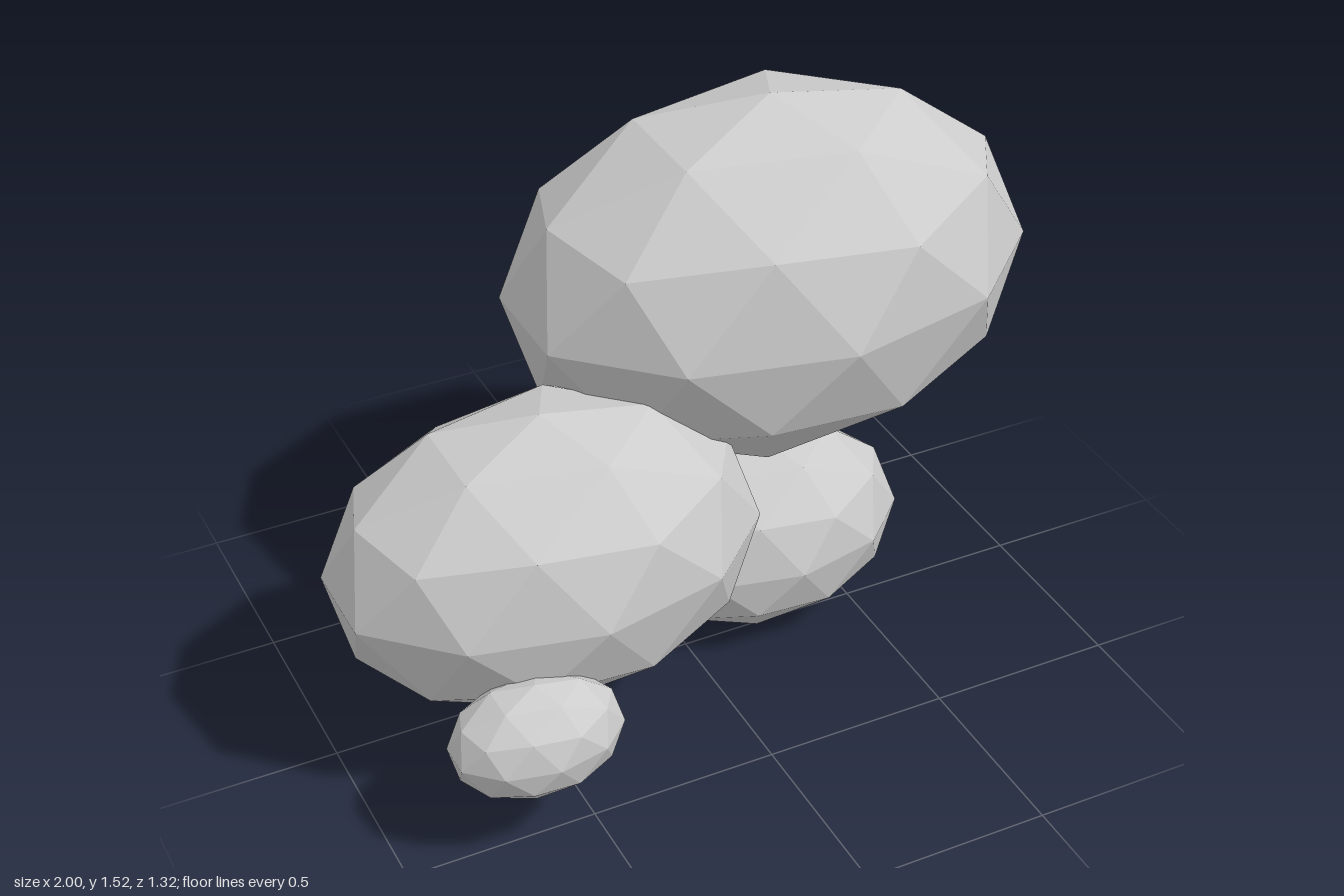
import * as THREE from 'three';

// Low-poly ellipsoid: a once-subdivided icosahedron standing on a vertex
function makeBlob(name, [x, y, z], [rx, r], material) {
  const geometry = new THREE.IcosahedronGeometry(1, 1);
  geometry.rotateZ(-Math.atan(2 / (1 + Math.sqrt(5)))); // one corner points straight up
  geometry.scale(rx, r, r);
  geometry.computeVertexNormals();
  const mesh = new THREE.Mesh(geometry, material);
  mesh.name = name;
  mesh.position.set(x, y, z);
  return mesh;
}

export function createModel() {
  const group = new THREE.Group();
  group.name = 'blobCluster';
  const material = new THREE.MeshStandardMaterial({ color: 0xcccccc, flatShading: true });

  // name, centre, [long radius along x, round radius]
  const blobs = [
    ['largeUpperBlob', [0.315, 1.027, -0.166], [0.72, 0.493]],
    ['mediumSideBlob', [-0.457, 0.575, 0.13], [0.571, 0.394]],
    ['lowerBlob', [0.254, 0.281, -0.086], [0.405, 0.281]],
    ['smallFrontBlob', [-0.65, 0.324, 0.505], [0.225, 0.153]],
  ];
  for (const [name, centre, radii] of blobs) group.add(makeBlob(name, centre, radii, material));
  return group;
}
